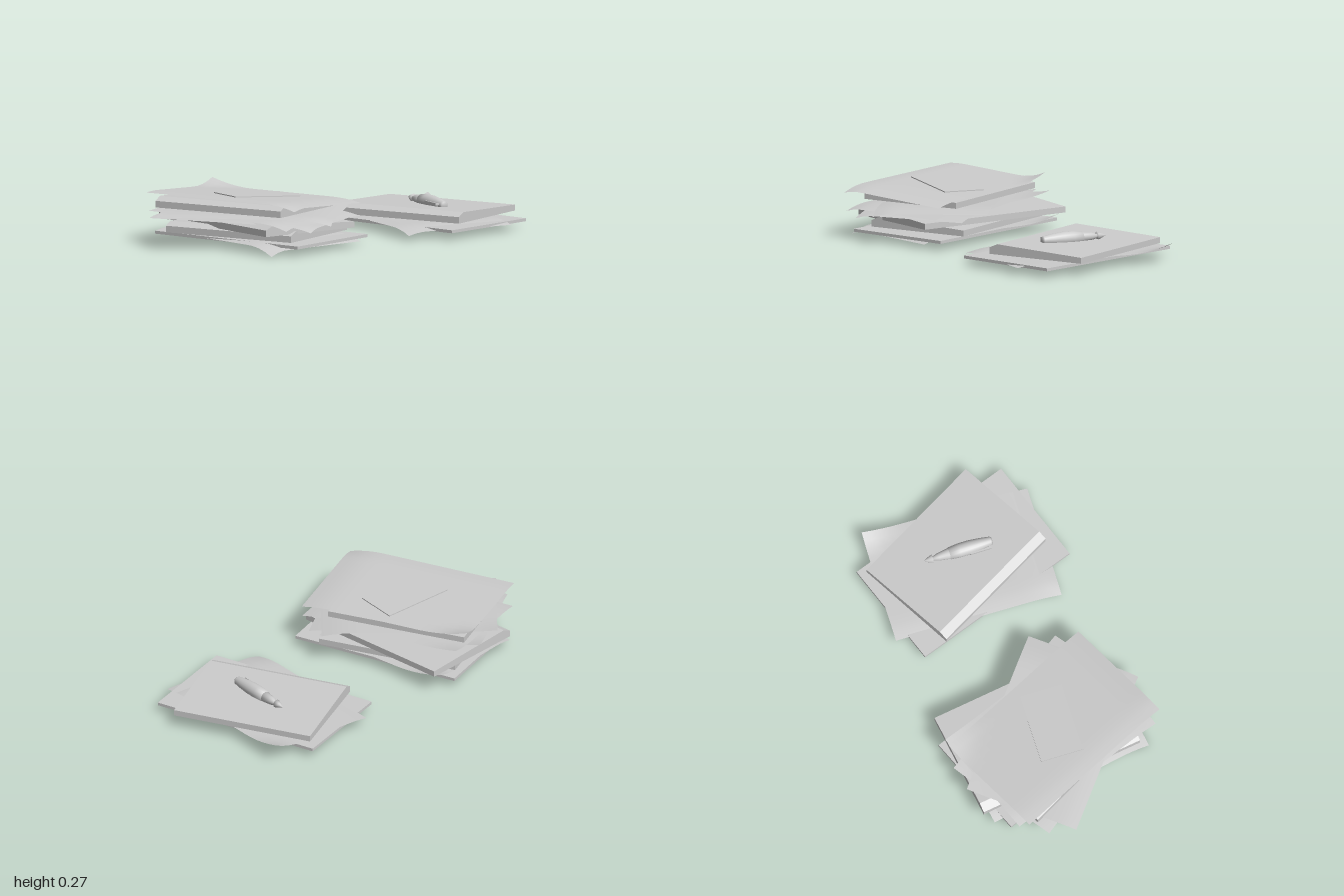
import * as THREE from 'three';

const grey = new THREE.MeshStandardMaterial({ color: 0xcccccc });
const paperGrey = new THREE.MeshStandardMaterial({ color: 0xcccccc, side: THREE.DoubleSide });

function place(geometry, material, name, x, y, z, turn) {
  const mesh = new THREE.Mesh(geometry, material);
  mesh.name = name;
  mesh.position.set(x, y, z);
  mesh.rotation.y = turn;
  return mesh;
}

// Thin flat pad of paper
function pad(name, x, y, z, turn, w = 0.565, h = 0.015, l = 0.907) {
  return place(new THREE.BoxGeometry(w, h, l), grey, name, x, y + h / 2, z, turn);
}

// Closed folder: bevelled thick spine on the left, tapering to the right
function folder(name, x, y, z, turn, w = 0.545, l = 0.73) {
  const s = new THREE.Shape();
  s.moveTo(-w / 2, 0);
  s.lineTo(w / 2, 0);
  s.lineTo(w / 2, 0.03);
  s.lineTo(-w / 2 + 0.045, 0.053);
  s.lineTo(-w / 2, 0.033);
  const g = new THREE.ExtrudeGeometry(s, { depth: l, bevelEnabled: false });
  g.translate(0, 0, -l / 2);
  return place(g, grey, name, x, y, z, turn);
}

// Loose sheet: front and left edges droop, back right corner curls up
function sheet(name, x, y, z, turn, { w = 0.585, l = 0.88, tilt = 0, droop = 0.03, lift = 0.04 } = {}) {
  const g = new THREE.PlaneGeometry(w, l, 14, 18).rotateX(-Math.PI / 2);
  const p = g.attributes.position;
  const ease = (v, from) => Math.max(0, (v - from) / (1 - from)) ** 2;
  for (let i = 0; i < p.count; i++) {
    const u = (2 * p.getX(i)) / w, v = (2 * p.getZ(i)) / l;
    const front = ease(v, 0.6), left = ease(-u, 0.65);
    const corner = ease((u - v) / 2, 0.72);
    p.setY(i, -tilt * u - droop * (0.6 * front + 0.25 * left + 0.3 * front * left) + lift * corner);
  }
  g.computeVertexNormals();
  return place(g, paperGrey, name, x, y, z, turn);
}

// Stubby pen lying on its side, nib pointing to the back
function pen() {
  const group = new THREE.Group();
  group.name = 'pen';
  const turned = (pts, name) => {
    const g = new THREE.LatheGeometry(pts.map(([r, d]) => new THREE.Vector2(r, d)), 20);
    g.rotateX(-Math.PI / 2);
    group.add(place(g, grey, name, 0, 0, 0, 0));
  };
  turned([[0, 0], [0.016, 0], [0.022, 0.008], [0.03, 0.06], [0.036, 0.12], [0.036, 0.17], [0.031, 0.225], [0, 0.225]], 'penBarrel');
  turned([[0, 0.225], [0.028, 0.225], [0.02, 0.28], [0.009, 0.315], [0, 0.315]], 'penGrip');
  turned([[0, 0.31], [0.021, 0.312], [0.013, 0.335], [0, 0.362]], 'penNib');
  group.add(place(new THREE.BoxGeometry(0.008, 0.012, 0.11), grey, 'penClip', -0.038, 0.006, -0.07, 0));
  group.add(place(new THREE.BoxGeometry(0.026, 0.01, 0.012), grey, 'penClipMount', -0.028, 0.006, -0.022, 0));
  group.position.set(0.59, 0.11, 0.16);
  group.rotation.y = -0.11;
  return group;
}

export function createModel() {
  const model = new THREE.Group();

  // Small stack with the pen on top
  const small = new THREE.Group();
  small.name = 'smallStack';
  small.add(
    pad('bottomPad', 0.565, 0.025, -0.01, 0.224),
    sheet('looseSheet', 0.56, 0.046, -0.02, -0.128, { l: 0.866 }),
    folder('topFolder', 0.605, 0.055, -0.03, 0.397),
    pen()
  );

  // Tall stack of folders and loose sheets
  const tall = new THREE.Group();
  tall.name = 'tallStack';
  tall.add(
    pad('bottomPad', -0.42, 0.025, -0.01, 0.27),
    sheet('lowerSheet', -0.43, 0.043, -0.02, 0.078, { droop: 0.046 }),
    folder('lowerFolder', -0.435, 0.046, -0.03, 0.397),
    folder('middleFolder', -0.42, 0.085, -0.05, 0.03, 0.56, 0.87),
    sheet('middleSheet', -0.48, 0.14, 0.005, 0.53, { lift: 0.02 }),
    sheet('turnedSheet', -0.483, 0.168, 0.005, 0.785, { tilt: -0.006, lift: 0.01 }),
    sheet('upperSheet', -0.47, 0.155, 0, 0.26, { lift: 0.02 }),
    folder('upperFolder', -0.5, 0.177, -0.03, 0.397),
    sheet('topSheet', -0.485, 0.236, 0.012, 0.338, { tilt: 0.019, l: 0.9 })
  );

  // Small card resting on the top sheet
  const card = pad('card', -0.46, 0.2355, 0.01, -0.128, 0.37, 0.005, 0.22);
  card.rotation.z = -0.058;
  card.rotation.x = -0.025;
  tall.add(card);

  model.add(small, tall);
  return model;
}
